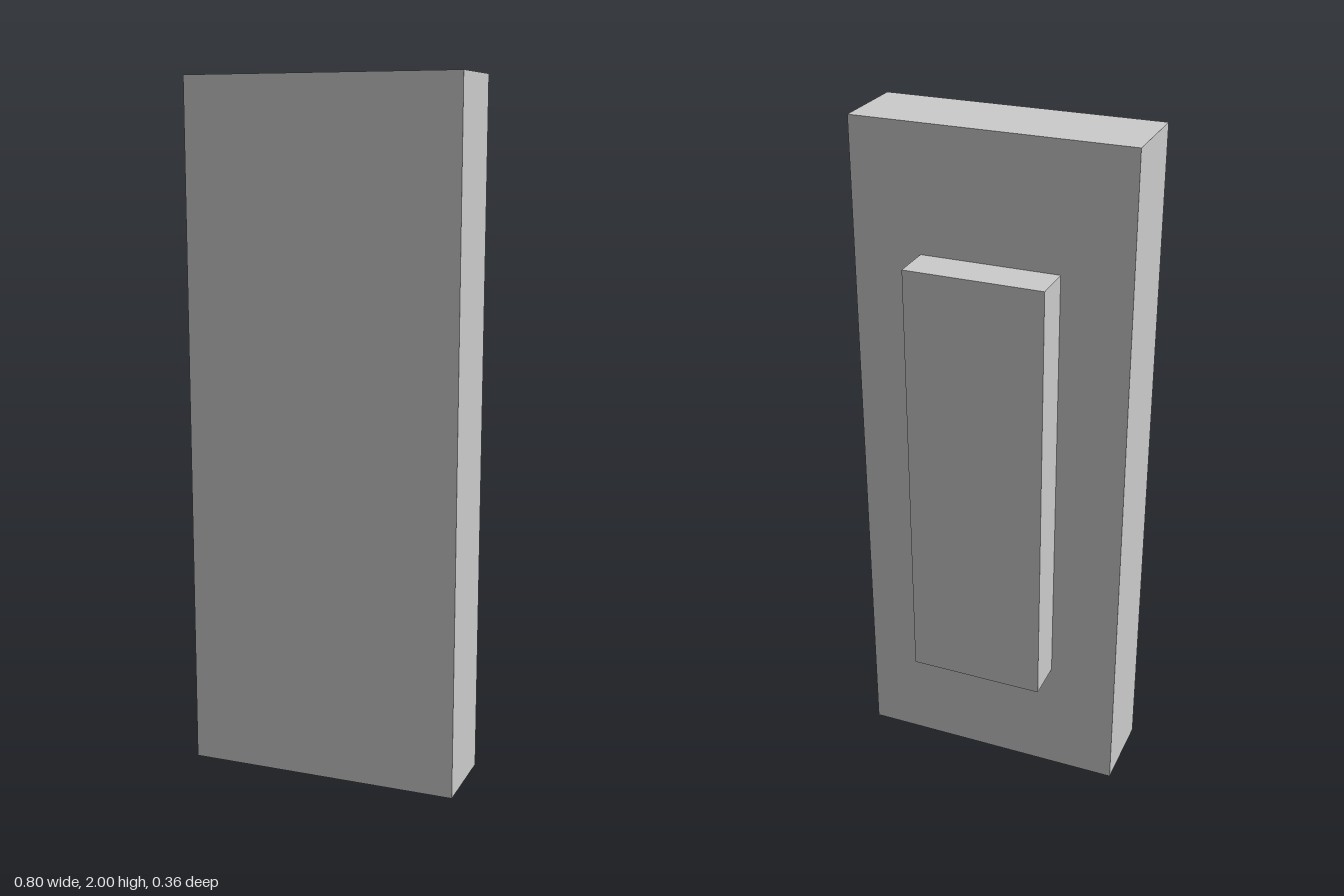
import * as THREE from 'three';

const material = new THREE.MeshStandardMaterial({ color: 0xcccccc, flatShading: true });

// Box spanning y0..y1 and z0..z1, centred on x
function slab(name, width, y0, y1, z0, z1) {
  const mesh = new THREE.Mesh(new THREE.BoxGeometry(width, y1 - y0, z1 - z0), material);
  mesh.position.set(0, (y0 + y1) / 2, (z0 + z1) / 2);
  mesh.name = name;
  return mesh;
}

export function createModel() {
  const group = new THREE.Group();
  group.name = 'panelWithBackBlock';
  // Tall front panel
  group.add(slab('mainPanel', 0.8, 0, 2, -0.06, 0.18));
  // Smaller raised block on the back
  group.add(slab('backBlock', 0.4, 0.36, 1.64, -0.18, -0.06));
  return group;
}
